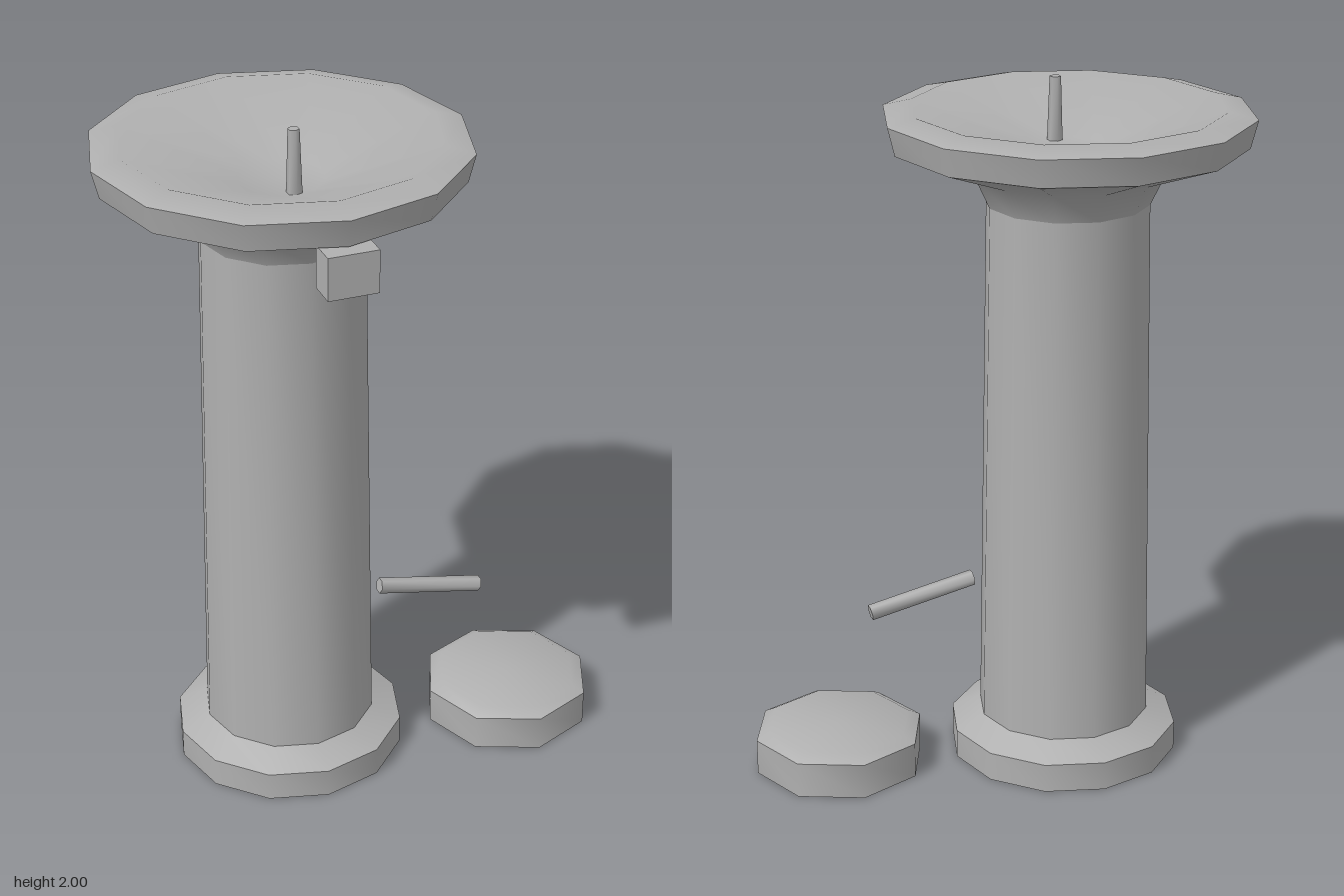
import * as THREE from 'three';
import { toCreasedNormals } from 'three/addons/utils/BufferGeometryUtils.js';

export function createModel() {
  const group = new THREE.Group();
  const stone = new THREE.MeshStandardMaterial({ color: 0xb0b0b0, side: THREE.DoubleSide });
  stone.name = 'grey stone';

  const add = (name, geometry, x, y, z) => {
    const mesh = new THREE.Mesh(geometry, stone);
    mesh.name = name;
    mesh.position.set(x, y, z);
    group.add(mesh);
    return mesh;
  };
  // Turned part, smooth around but sharp at strong profile bends
  const turned = (profile, sides) => toCreasedNormals(
    new THREE.LatheGeometry(profile.map(([r, y]) => new THREE.Vector2(r, y)), sides), 0.85);

  // Hollow pedestal with stepped foot, open below
  add('pedestal', turned([
    [0.335, 0], [0.335, 0.085], [0.25, 0.125], [0.23, 1.67],
  ], 12), -0.2, 0, -0.007);

  // Flared bowl with a bevelled rim and a sunken floor
  add('bowl', turned([
    [0.23, 1.67], [0.27, 1.755], [0.5, 1.84], [0.52, 1.92],
    [0.44, 1.94], [0.12, 1.82], [0, 1.82],
  ], 12), -0.2, 0, -0.007);

  // Spout rising from the bowl floor
  add('spout', toCreasedNormals(new THREE.CylinderGeometry(0.016, 0.022, 0.18, 6), 1.1), -0.2, 1.91, 0.095);

  // Push button block under the front of the rim
  add('pushButton', new THREE.BoxGeometry(0.14, 0.12, 0.085), -0.2, 1.775, 0.485);

  // Sloping side lever
  const start = new THREE.Vector3(0.048, 0.525, 0.095);
  const end = new THREE.Vector3(0.363, 0.46, 0.095);
  const axis = end.clone().sub(start);
  const lever = add('lever', toCreasedNormals(
    new THREE.CylinderGeometry(0.023, 0.023, axis.length(), 6), 1.1), 0, 0, 0);
  lever.position.copy(start).add(end).multiplyScalar(0.5);
  lever.quaternion.setFromUnitVectors(new THREE.Vector3(0, 1, 0), axis.normalize());

  // Low step beside the pedestal, open below
  add('step', turned([[0.25, 0], [0.25, 0.105], [0.212, 0.125], [0, 0.125]], 8), 0.466, 0, 0.096);

  return group;
}
